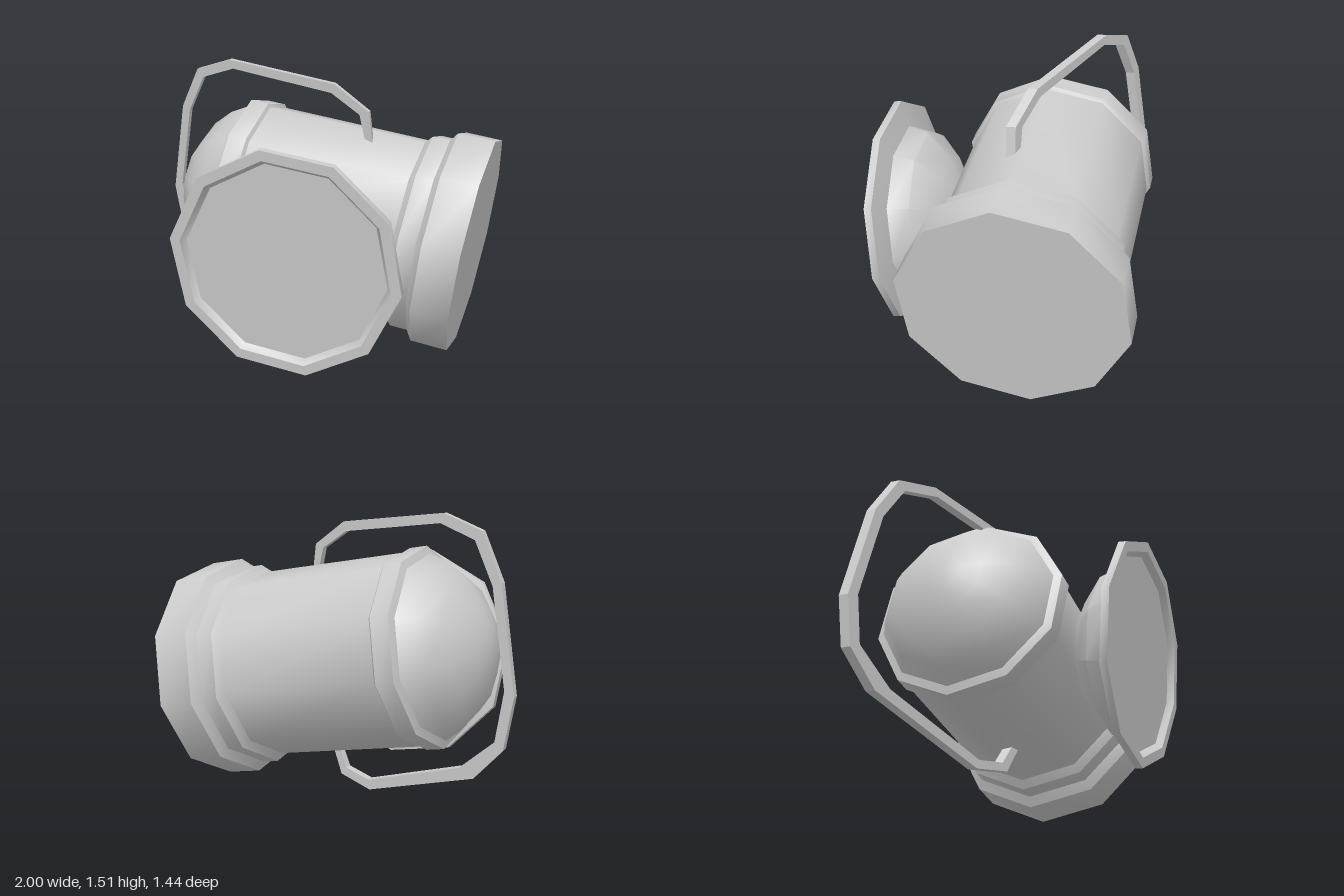
import * as THREE from 'three';
import { toCreasedNormals } from 'three/addons/utils/BufferGeometryUtils.js';

const material = new THREE.MeshStandardMaterial({ color: 0xcccccc });
const toVectors = (list) => list.map(([x, y]) => new THREE.Vector2(x, y));

// Ten-sided turned part: starts at "origin", runs along "axis", one corner faces "corner"
function turned(name, profile, origin, axis, corner) {
  const geometry = toCreasedNormals(new THREE.LatheGeometry(toVectors(profile), 10), 0.7);
  const mesh = new THREE.Mesh(geometry, material);
  const y = new THREE.Vector3(...axis).normalize();
  const x = new THREE.Vector3().crossVectors(y, new THREE.Vector3(...corner)).normalize();
  const z = new THREE.Vector3().crossVectors(x, y);
  mesh.quaternion.setFromRotationMatrix(new THREE.Matrix4().makeBasis(x, y, z));
  mesh.position.set(...origin);
  mesh.name = name;
  return mesh;
}

// Flat bail handle: an open loop, extruded and then skewed into its leaning plane
function bailHandle() {
  const outer = [
    [0.335, 1.14], [0.315, 1.31], [0.11, 1.44], [-0.56, 1.51], [-0.79, 1.435], [-0.91, 1.2],
    [-1, 0.68], [-0.95, 0.42], [-0.785, 0.25], [-0.12, 0.04], [0.085, 0.08], [0.16, 0.24],
  ];
  const inner = [
    [0.295, 1.14], [0.26, 1.29], [0.09, 1.39], [-0.54, 1.46], [-0.75, 1.39], [-0.86, 1.18],
    [-0.945, 0.7], [-0.9, 0.45], [-0.7, 0.285], [-0.11, 0.09], [0.05, 0.12], [0.12, 0.25],
  ];
  const shape = new THREE.Shape(toVectors([...outer, ...inner.reverse()]));
  const geometry = new THREE.ExtrudeGeometry(shape, { depth: 0.05, bevelEnabled: false });
  const p = geometry.attributes.position;
  for (let i = 0; i < p.count; i++) {
    p.setZ(i, p.getZ(i) - 0.205 + 0.45 * p.getX(i) + 0.06 * (p.getY(i) - 0.9));
  }
  geometry.computeVertexNormals();
  const mesh = new THREE.Mesh(geometry, material);
  mesh.name = 'handle';
  return mesh;
}

export function createModel() {
  const group = new THREE.Group();
  group.name = 'lantern';

  // Canister: flat end, stepped collar, barrel, band and domed end
  group.add(turned('canister', [
    [0, 0], [0.6, 0], [0.6, 0.2], [0.55, 0.235], [0.55, 0.33], [0.508, 0.365],
    [0.508, 1.245], [0.527, 1.26], [0.527, 1.36], [0.485, 1.375],
    [0.43, 1.47], [0.34, 1.56], [0.2, 1.64], [0.09, 1.67], [0, 1.68],
  ], [0.89, 0.59, -0.1], [-1, 0.165, -0.08], [0, 0.99, 0.126]));

  // Lamp dish: recessed face, rim, sloping flange and domed back
  group.add(turned('lampDish', [
    [0, 0.035], [0.535, 0.035], [0.56, 0], [0.615, 0], [0.615, 0.04], [0.475, 0.07],
    [0.435, 0.175], [0.3, 0.285], [0.15, 0.345], [0, 0.36],
  ], [-0.005, 0.63, 0.63], [0.09, 0.117, -1], [-0.165, 0.986, 0.1]));

  group.add(bailHandle());
  return group;
}
